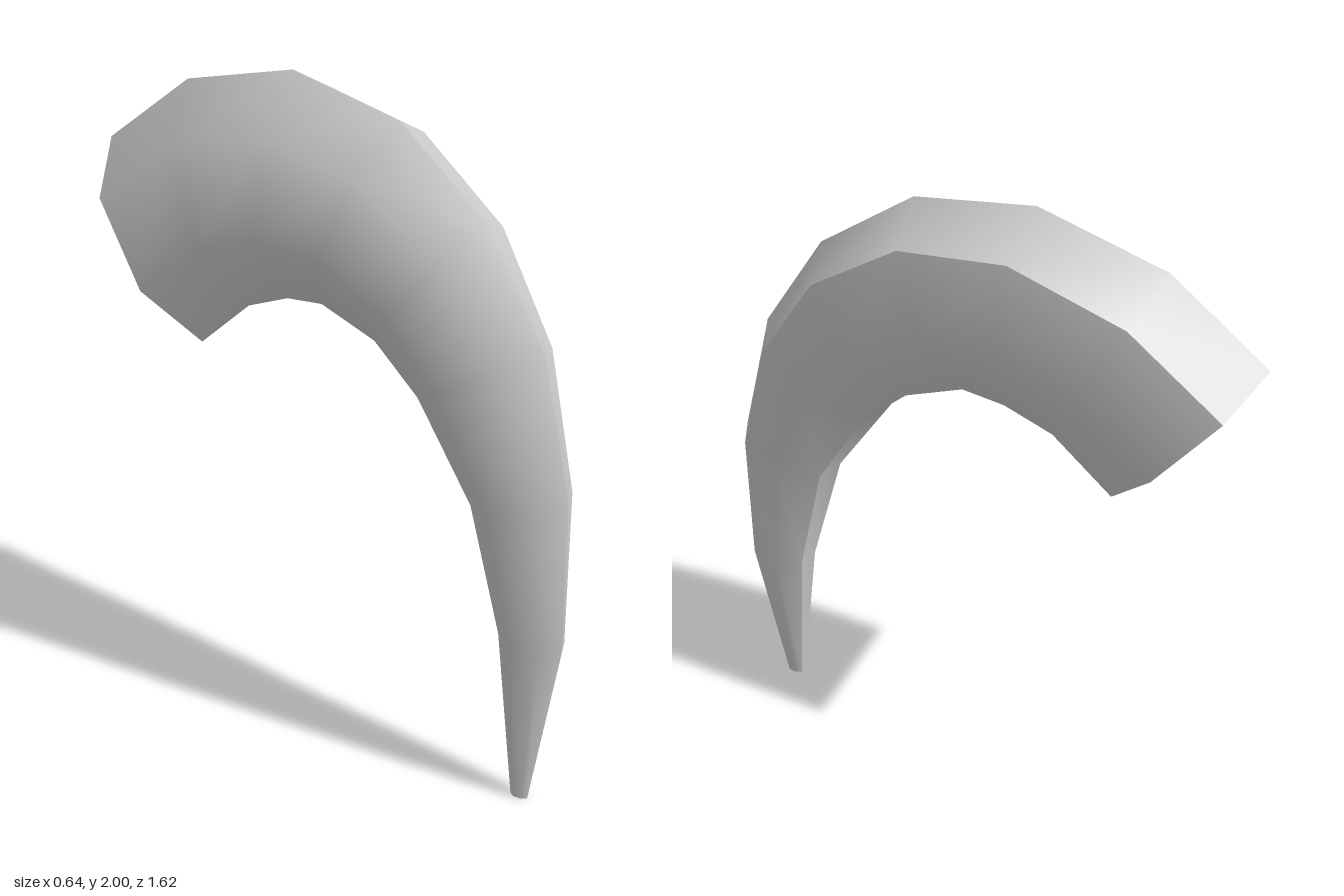
import * as THREE from 'three';
import { toCreasedNormals } from 'three/addons/utils/BufferGeometryUtils.js';

const SIDES = 7;
const FLATTEN = 0.64; // sideways radius relative to the in-curve radius

// Cross-sections from root to tip: centre, then the radius vector towards the outer curve
const sections = [
  [-0.123, 1.407, -0.588, 0, 0.262, -0.23],
  [-0.051, 1.599, -0.371, 0.02, 0.3, -0.173],
  [0.022, 1.675, -0.129, 0.046, 0.326, -0.045],
  [0.081, 1.646, 0.105, 0.073, 0.285, 0.083],
  [0.141, 1.497, 0.334, 0.076, 0.205, 0.153],
  [0.175, 1.271, 0.506, 0.077, 0.109, 0.179],
  [0.197, 0.93, 0.651, 0.058, 0.045, 0.141],
  [0.197, 0.51, 0.713, 0.037, 0, 0.096],
  [0.173, 0, 0.712, 0.01, 0, 0.026],
];

function hornGeometry() {
  const centres = sections.map((s) => new THREE.Vector3(s[0], s[1], s[2]));
  const last = sections.length - 1;
  const positions = [];
  const index = [];

  // Flattened seven-sided rings square to the curve
  sections.forEach((s, i) => {
    const outer = new THREE.Vector3(s[3], s[4], s[5]);
    const tangent = centres[Math.min(i + 1, last)].clone().sub(centres[Math.max(i - 1, 0)]);
    const side = outer.clone().cross(tangent).setLength(outer.length() * FLATTEN);
    for (let j = 0; j < SIDES; j++) {
      const a = (j / SIDES) * Math.PI * 2;
      const p = centres[i].clone()
        .addScaledVector(side, Math.cos(a))
        .addScaledVector(outer, Math.sin(a));
      positions.push(p.x, Math.max(p.y, 0), p.z);
    }
  });

  // Walls
  for (let i = 0; i < last; i++) {
    for (let j = 0; j < SIDES; j++) {
      const a = i * SIDES + j;
      const b = i * SIDES + ((j + 1) % SIDES);
      index.push(a, b, a + SIDES, b, b + SIDES, a + SIDES);
    }
  }

  // Root and tip caps
  const tip = last * SIDES;
  for (let j = 1; j < SIDES - 1; j++) {
    index.push(0, j + 1, j);
    index.push(tip, tip + j, tip + j + 1);
  }

  const geometry = new THREE.BufferGeometry();
  geometry.setAttribute('position', new THREE.Float32BufferAttribute(positions, 3));
  geometry.setIndex(index);
  // Smooth flanks with sharp ridges along the inner and outer curves
  return toCreasedNormals(geometry, THREE.MathUtils.degToRad(45));
}

export function createModel() {
  const group = new THREE.Group();
  const material = new THREE.MeshStandardMaterial({ color: 0xcccccc });
  const horn = new THREE.Mesh(hornGeometry(), material);
  horn.name = 'horn';
  group.add(horn);
  return group;
}
